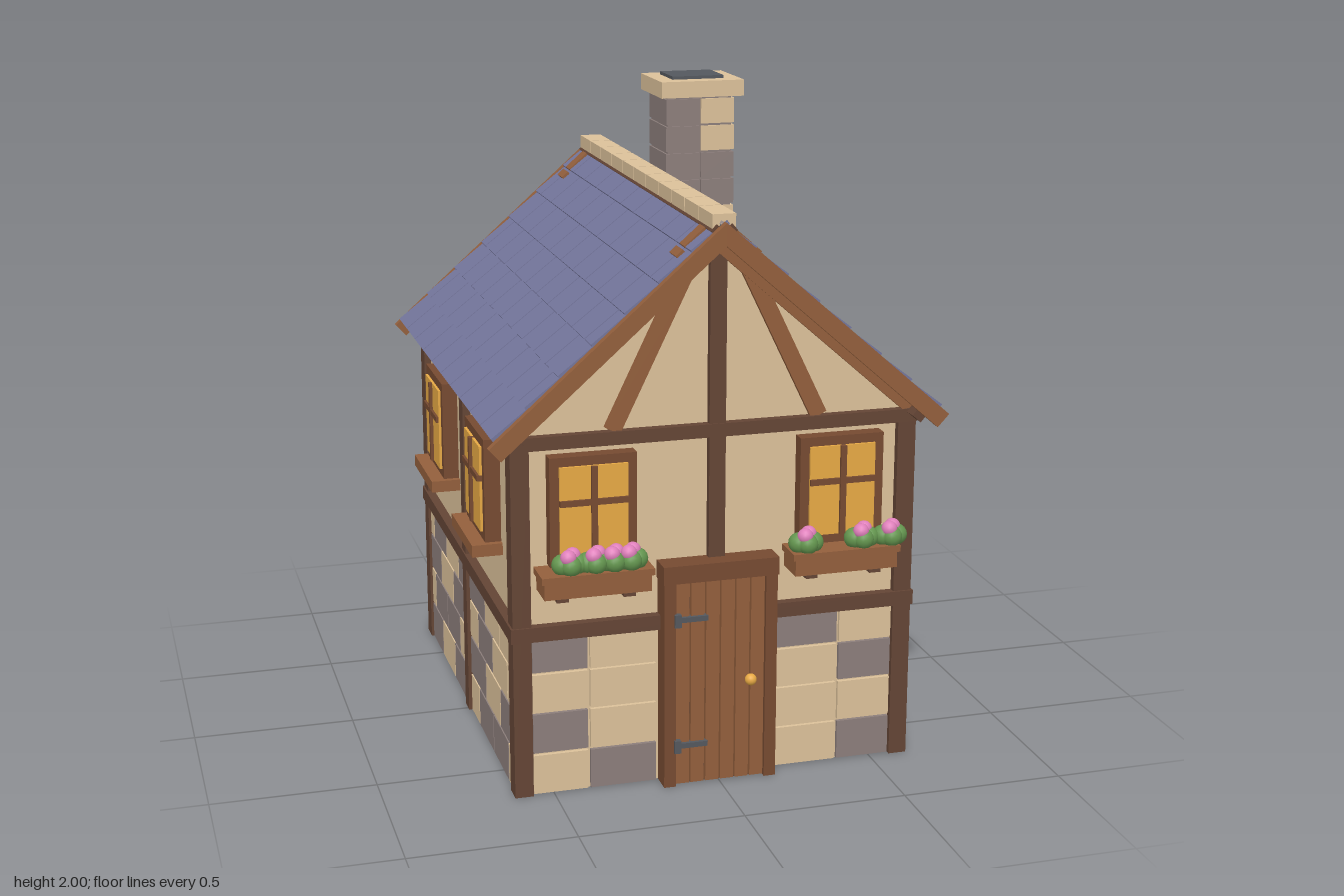
import * as THREE from 'three';

const mat = (name, color) => Object.assign(new THREE.MeshStandardMaterial({ color }), { name });
const M = {
  tan: mat('sand plaster and stone', 0xdcc19a),
  grey: mat('grey stone', 0x8c7e7b),
  dark: mat('dark timber', 0x644535),
  frame: mat('brown joinery', 0x764a31),
  wood: mat('warm timber', 0x935f3c),
  roof: mat('blue slate', 0x74769c),
  glow: mat('amber glass', 0xe8aa45),
  iron: mat('dark iron', 0x54585e),
  pink: mat('pink petals', 0xe080bc),
  green: mat('green leaves', 0x64964f),
};

function add(parent, name, geo, m, x = 0, y = 0, z = 0) {
  const mesh = new THREE.Mesh(geo, m);
  mesh.name = name;
  mesh.position.set(x, y, z);
  parent.add(mesh);
  return mesh;
}
// box given by its extents
const box = (p, name, m, x0, x1, y0, y1, z0, z1) =>
  add(p, name, new THREE.BoxGeometry(x1 - x0, y1 - y0, z1 - z0), m, (x0 + x1) / 2, (y0 + y1) / 2, (z0 + z1) / 2);

function group(parent, name, rotY = 0) {
  const g = new THREE.Group();
  g.name = name;
  g.rotation.y = rotY;
  parent.add(g);
  return g;
}
// flat outline pushed along z
function slab(p, name, m, pts, z0, z1) {
  const shape = new THREE.Shape(pts.map(([x, y]) => new THREE.Vector2(x, y)));
  return add(p, name, new THREE.ExtrudeGeometry(shape, { depth: z1 - z0, bevelEnabled: false }), m, 0, 0, z0);
}
// symmetric outline from its right half, listed from the top centre to the bottom centre
const mirrored = (half) => [...half.slice(1, -1).reverse().map(([x, y]) => [-x, y]), half[0], ...half.slice(1)].reverse();

function beam(p, name, m, x1, y1, x2, y2, w, z0, z1) {
  const b = box(p, name, m, -w / 2, w / 2, 0, Math.hypot(x2 - x1, y2 - y1), z0, z1);
  b.position.set((x1 + x2) / 2, (y1 + y2) / 2, (z0 + z1) / 2);
  b.rotation.z = -Math.atan2(x2 - x1, y2 - y1);
}

const ROWS = [[0, 0.125], [0.13, 0.255], [0.26, 0.38], [0.385, 0.495]];
// stone courses from the ground up; firsts = width of each course's first stone; G marks grey stones
function stones(p, u0, u1, z, width, firsts, pattern) {
  pattern.split(' ').forEach((row, r) => {
    let a = u0;
    for (let i = 0; a < u1 - 0.01; i++) {
      const b = Math.min(u1, a + (i === 0 ? firsts[r] : width));
      box(p, 'stone', row[i % row.length] === 'G' ? M.grey : M.tan,
        a + 0.004, b - 0.004, ROWS[r][0] + 0.003, ROWS[r][1], z - 0.04, z - 0.008);
      a = b;
    }
  });
}

function windowUnit(p, u, z, w, y0, y1) {
  const g = group(p, 'window');
  const h = w / 2, t = 0.028;
  for (const s of [-1, 1]) {
    const c = u + s * (h - t / 2);
    box(g, 'windowJamb', M.frame, c - t / 2, c + t / 2, y0, y1, z - 0.03, z + 0.026);
  }
  box(g, 'windowHead', M.frame, u - h + t, u + h - t, y1 - t, y1, z - 0.03, z + 0.026);
  box(g, 'windowFoot', M.frame, u - h + t, u + h - t, y0, y0 + t, z - 0.03, z + 0.026);
  box(g, 'windowGlass', M.glow, u - h + t, u + h - t, y0 + t, y1 - t, z - 0.01, z + 0.034);
  box(g, 'mullion', M.frame, u - 0.009, u + 0.009, y0 + t, y1 - t, z, z + 0.044);
  box(g, 'glazingBar', M.frame, u - h + t, u + h - t, 0.905, 0.923, z, z + 0.042);
}

function flowerBox(p, u, z, plants) {
  const g = group(p, 'flowerBox');
  box(g, 'trough', M.wood, u - 0.16, u + 0.16, 0.645, 0.7, z - 0.02, z + 0.085);
  box(g, 'troughRim', M.wood, u - 0.168, u + 0.168, 0.695, 0.715, z - 0.02, z + 0.092);
  for (const s of [-0.1, 0.1]) box(g, 'bracket', M.dark, u + s - 0.018, u + s + 0.018, 0.625, 0.647, z - 0.02, z + 0.06);
  for (const x of plants) {
    for (const [dx, dz] of [[-0.022, 0], [0.022, 0], [0, 0.016]])
      add(g, 'leaves', new THREE.IcosahedronGeometry(0.032, 2), M.green, x + dx, 0.738, z + 0.052 + dz);
    for (const [dx, dz] of [[-0.008, 0.014], [0.01, -0.008]])
      add(g, 'blossom', new THREE.IcosahedronGeometry(0.024, 2), M.pink, x + dx, 0.763, z + 0.055 + dz);
  }
}

// timber frame of one wall in its own frame: u along the wall, z outward
function frame(p, half, z) {
  box(p, 'sillBeam', M.dark, -half - 0.005, half + 0.005, 0.49, 0.535, z - 0.06, z + 0.006);
  box(p, 'wallPlate', M.dark, -half, half, 1.07, 1.11, z - 0.06, z + 0.004);
}

function gable(p, z, postFoot) {
  box(p, 'kingPost', M.dark, -0.025, 0.025, postFoot, 1.65, z - 0.05, z);
  slab(p, 'gableRafters', M.wood, mirrored([[0, 1.66], [0.62, 1.115], [0.575, 1.11], [0, 1.615]]), z - 0.03, z + 0.002);
  for (const s of [-1, 1]) beam(p, 'gableBrace', M.wood, s * 0.315, 1.11, s * 0.09, 1.575, 0.05, z - 0.04, z - 0.006);
}

function door(p, z) {
  const g = group(p, 'door');
  for (const s of [-1, 1]) box(g, 'doorPost', M.frame, s * 0.157 - 0.018, s * 0.157 + 0.018, 0, 0.65, z - 0.03, z + 0.05);
  box(g, 'lintel', M.frame, -0.178, 0.178, 0.645, 0.7, z - 0.03, z + 0.054);
  box(g, 'doorBacking', M.dark, -0.14, 0.14, 0, 0.65, z - 0.03, z + 0.026);
  for (let i = 0; i < 6; i++) {
    const x = -0.139 + i * 0.0465;
    box(g, 'doorPlank', M.wood, x + 0.002, x + 0.0435, 0.005, 0.645, z, z + 0.042);
  }
  for (const y of [0.13, 0.53]) {
    box(g, 'hinge', M.iron, -0.145, -0.04, y - 0.008, y + 0.008, z + 0.03, z + 0.052);
    box(g, 'hingePlate', M.iron, -0.145, -0.125, y - 0.02, y + 0.02, z + 0.03, z + 0.06);
  }
  add(g, 'doorKnob', new THREE.SphereGeometry(0.018, 16, 12), M.glow, 0.09, 0.325, z + 0.062);
}

function buildRoof(p) {
  const roof = group(p, 'roof');
  roof.position.z = -0.003;
  const angle = Math.atan(0.87), pitch = 0.129, hz = 0.77, tile = 0.154;
  for (const turn of [0, Math.PI]) {
    const slope = group(group(roof, 'roofHalf', turn), 'roofSlope');
    slope.position.y = 1.72;
    slope.rotation.z = -angle;
    box(slope, 'roofDeck', M.dark, -0.01, 0.88, -0.05, -0.024, -hz, hz);
    box(slope, 'roofUnderlay', M.iron, 0, 0.875, -0.024, -0.016, -hz, hz);
    box(slope, 'eaveBoard', M.dark, 0.85, 0.885, -0.08, -0.045, -hz, hz);
    for (let r = 0; r < 7; r++) {
      const edges = [-hz];
      for (let a = -hz + (r % 2 ? tile / 2 : tile); a < hz - 0.01; a += tile) edges.push(a);
      edges.push(hz);
      for (let i = 0; i + 1 < edges.length; i++) {
        const t = box(slope, 'roofTile', M.roof, 0, pitch + 0.006, 0, 0.016, edges[i] + 0.003, edges[i + 1] - 0.003);
        t.position.x = (r + 0.5) * pitch - 0.002;
        t.position.y = -0.01;
        t.rotation.z = 0.06;
      }
    }
    // timber straps near both ends of the ridge
    for (const z of [-0.688, 0.688]) {
      box(slope, 'ridgeStrap', M.wood, 0.05, 0.13, -0.02, 0.005, z - 0.025, z + 0.025);
      box(slope, 'ridgeStrapEnd', M.wood, 0.14, 0.168, -0.02, 0.004, z - 0.033, z + 0.033);
    }
  }
  for (let i = 0; i < 11; i++) {
    const z = -hz + i * 0.14;
    box(roof, 'ridgeStone', M.tan, -0.035, 0.035, 1.675, 1.737, z + 0.003, z + 0.137);
  }
  const barge = mirrored([[0, 1.715], [0.695, 1.105], [0.66, 1.067], [0, 1.648]]);
  for (const z of [-0.795, 0.77]) slab(roof, 'bargeBoard', M.wood, barge, z, z + 0.024);
}

function buildChimney(p) {
  const g = group(p, 'chimney');
  box(g, 'chimneyCore', M.grey, 0.108, 0.322, 1.505, 1.95, -0.386, -0.199);
  ['GT', 'GG', 'GG', 'GT', 'GT'].forEach((row, r) => {
    const y = 1.5 + r * 0.0875;
    [...row].forEach((c, i) => box(g, 'chimneyStone', c === 'G' ? M.grey : M.tan,
      0.102 + i * 0.117, 0.213 + i * 0.117, y, y + 0.08, -0.393, -0.192));
  });
  box(g, 'chimneyCap', M.tan, 0.08, 0.355, 1.938, 1.99, -0.418, -0.168);
  box(g, 'flue', M.iron, 0.132, 0.302, 1.98, 2, -0.37, -0.222);
}

export function createModel() {
  const model = new THREE.Group();
  model.name = 'cottage';
  const house = group(model, 'house');
  house.position.z = -0.012;
  const W = 0.62, D = 0.718;

  // solid body
  box(house, 'plasterWalls', M.tan, -0.597, 0.597, 0.48, 1.1, -0.695, 0.695);
  box(house, 'stoneCore', M.tan, -0.6, 0.6, 0.001, 0.5, -0.698, 0.698);
  slab(house, 'gableWalls', M.tan, mirrored([[0, 1.65], [0.597, 1.13], [0.597, 1.08], [0, 1.08]]), -0.695, 0.695);
  for (const x of [-1, 1]) for (const z of [-1, 1])
    box(house, 'cornerPost', M.dark, x * 0.592 - 0.028, x * 0.592 + 0.028, 0, 1.1, z * 0.686 - 0.032, z * 0.686 + 0.032);

  // front wall
  const front = group(house, 'frontWall');
  frame(front, W, D);
  gable(front, D, 0.69);
  stones(front, -0.565, -0.175, D, 0.21, [0.175, 0.175, 0.175, 0.175], 'TG GT TT GT');
  stones(front, 0.175, 0.565, D, 0.175, [0.215, 0.215, 0.215, 0.215], 'TG TT TG GT');
  door(front, D);
  for (const s of [-1, 1]) windowUnit(front, s * 0.38, D - 0.005, 0.26, 0.72, 1.05);
  flowerBox(front, -0.383, D, [-0.46, -0.385, -0.33, -0.28]);
  flowerBox(front, 0.378, D, [0.26, 0.435, 0.525]);

  // back wall
  const back = group(house, 'backWall', Math.PI);
  frame(back, W, D);
  gable(back, D, 0);
  stones(back, -0.565, -0.025, D, 0.18, [0.18, 0.18, 0.18, 0.18], 'TTT TGT TTT GTG');
  stones(back, 0.025, 0.565, D, 0.18, [0.18, 0.18, 0.18, 0.18], 'TGT TTT GTT TGT');

  // side walls
  const patterns = [['TTG GGTT TTT GGTT', 'TTTT TTTT TTTT TTG'], ['GTG TGGT GTG TGTG', 'TGGT GTGT TGTT GTTG']];
  [1, -1].forEach((s, k) => {
    const side = group(house, s > 0 ? 'leftWall' : 'rightWall', s * Math.PI / 2);
    frame(side, D, W);
    box(side, 'middlePost', M.dark, -0.028, 0.028, 0, 1.1, W - 0.05, W + 0.002);
    stones(side, -0.655, -0.028, W, 0.217, [0.185, 0.068, 0.185, 0.068], patterns[k][0]);
    stones(side, 0.028, 0.655, W, 0.217, [0.13, 0.24, 0.13, 0.24], patterns[k][1]);
    for (const u of [-0.33, 0.33]) {
      windowUnit(side, u, W, 0.28, 0.72, 1.04);
      box(side, 'windowSill', M.wood, u - 0.16, u + 0.16, 0.685, 0.722, W - 0.03, W + 0.07);
    }
  });

  buildRoof(house);
  buildChimney(model);
  return model;
}
